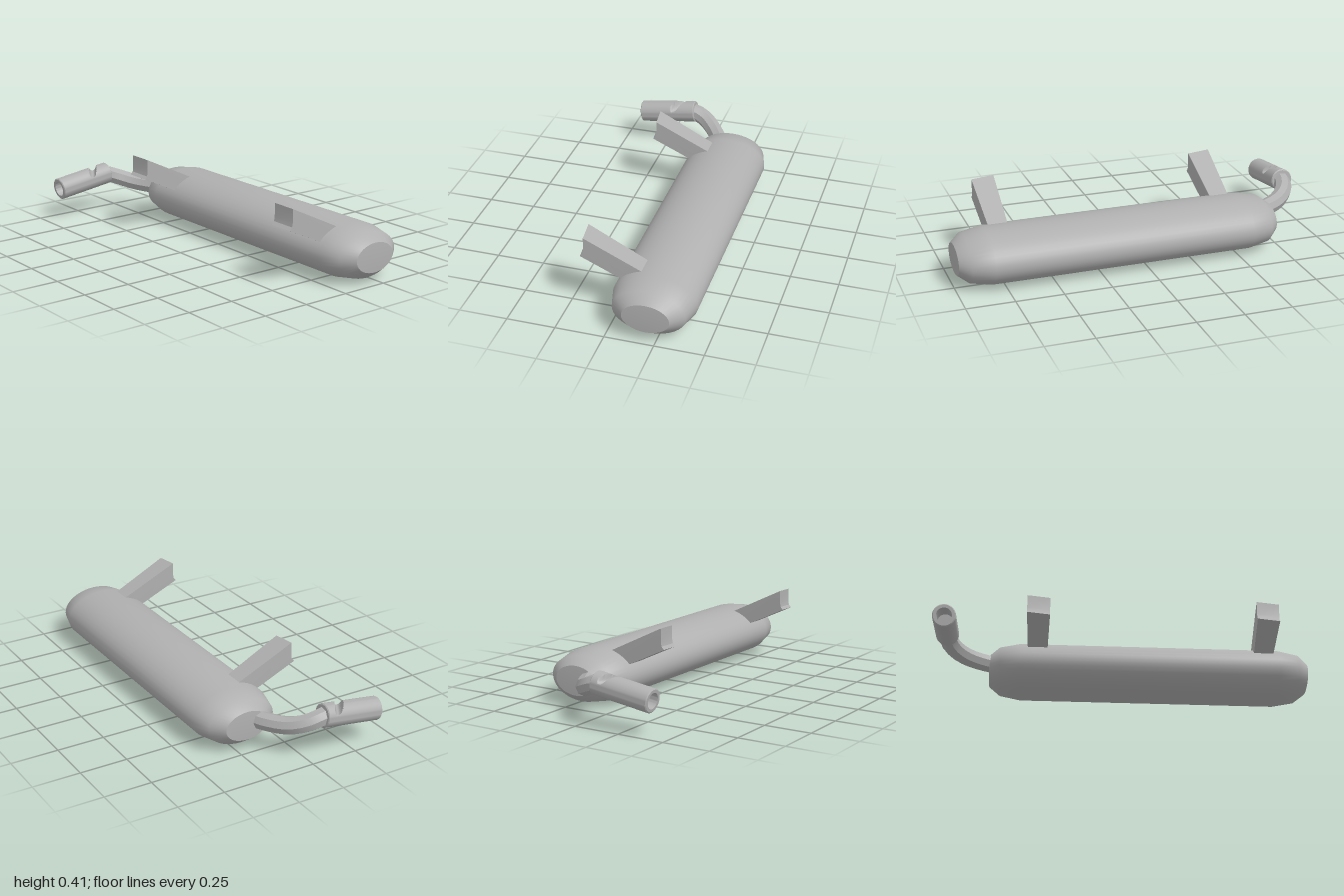
import * as THREE from 'three';
import { toCreasedNormals } from 'three/addons/utils/BufferGeometryUtils.js';

const V2 = (x, y) => new THREE.Vector2(x, y);
const V3 = (x, y, z) => new THREE.Vector3(x, y, z);

// Long oval canister with chamfered ends, lying along z
function canisterGeometry() {
  const profile = [
    [0, -0.73], [0.095, -0.725], [0.146, -0.67], [0.17, -0.56], [0.17, 0.82],
    [0.146, 0.93], [0.095, 0.985], [0, 0.99],
  ].map(([r, z]) => V2(r, z));
  const g = toCreasedNormals(new THREE.LatheGeometry(profile, 40), 0.6);
  g.rotateX(Math.PI / 2);
  g.scale(0.214 / 0.17, 0.137 / 0.17, 1);
  g.translate(0.203, 0.138, 0);
  return g;
}

// Solid hanger: one outline swept across z, with a skewed, hollowed outer end
function bracketGeometry() {
  const outline = [
    [-0.172, 0.409], [-0.172, 0.34], [-0.176, 0.318], [-0.19, 0.303],
    [0.06, 0.185], [0.16, 0.2], [0.127, 0.264],
  ];
  const shape = new THREE.Shape(outline.map(([x, y]) => V2(x, y)));
  const g = new THREE.ExtrudeGeometry(shape, { depth: 1, bevelEnabled: false });
  g.translate(0, 0, -0.5);
  const p = g.attributes.position;
  for (let i = 0; i < p.count; i++) {
    const x = p.getX(i), side = Math.sign(p.getZ(i));
    const outer = x < -0.1;
    p.setZ(i, side * (outer ? 0.06 : 0.051));
    if (outer) {
      p.setX(i, x + side * 0.006);
      p.setY(i, p.getY(i) - side * 0.003);
    }
  }
  return toCreasedNormals(g, 0.5);
}

// Tail tip: bored cylinder with a slanted round-bottomed slot across its top
function tipGeometry() {
  const R = 0.06, L = 0.325, rows = 90;
  const pts = [V2(0, 0), V2(R - 0.005, 0)];
  for (let i = 0; i <= rows; i++) pts.push(V2(R, 0.004 + (L - 0.008) * i / rows));
  pts.push(V2(R - 0.005, L), V2(0.04, L), V2(0.04, L - 0.11), V2(0, L - 0.11));
  const g = new THREE.LatheGeometry(pts, 40);
  const p = g.attributes.position;
  const half = 0.024, depth = 0.042;
  for (let i = 0; i < p.count; i++) {
    const x = p.getX(i), z = p.getZ(i);
    if (Math.hypot(x, z) < R - 0.001) continue;
    const d = (p.getY(i) - 0.09 - 0.63 * z) / half;
    if (Math.abs(d) < 1) p.setX(i, Math.min(x, R - depth * Math.sqrt(1 - d * d)));
  }
  const along = V3(-0.99, -0.14, 0).normalize();
  const up = V3(along.y, -along.x, 0);
  const m = new THREE.Matrix4().makeBasis(up, along, V3(0, 0, 1));
  m.setPosition(-0.085, 0.215, -0.94);
  return toCreasedNormals(g, 0.6).applyMatrix4(m);
}

export function createModel() {
  const model = new THREE.Group();
  model.name = 'exhaustSilencer';
  const metal = new THREE.MeshStandardMaterial({ color: 0xb0b0b0 });
  metal.name = 'greyMetal';

  const add = (name, geometry) => {
    const mesh = new THREE.Mesh(geometry, metal);
    mesh.name = name;
    model.add(mesh);
    return mesh;
  };

  add('canister', canisterGeometry());

  // Two identical hangers
  const bracket = bracketGeometry();
  add('frontBracket', bracket).position.z = 0.737;
  add('rearBracket', bracket).position.z = -0.47;

  // Bent octagonal outlet pipe
  const path = new THREE.CatmullRomCurve3([
    V3(0.145, 0.147, -0.66), V3(0.12, 0.147, -0.73), V3(0.05, 0.157, -0.85),
    V3(-0.015, 0.182, -0.915), V3(-0.075, 0.205, -0.938), V3(-0.11, 0.212, -0.94),
  ]);
  add('outletPipe', toCreasedNormals(new THREE.TubeGeometry(path, 10, 0.047, 8), 0.5));

  add('tailTip', tipGeometry());
  return model;
}
